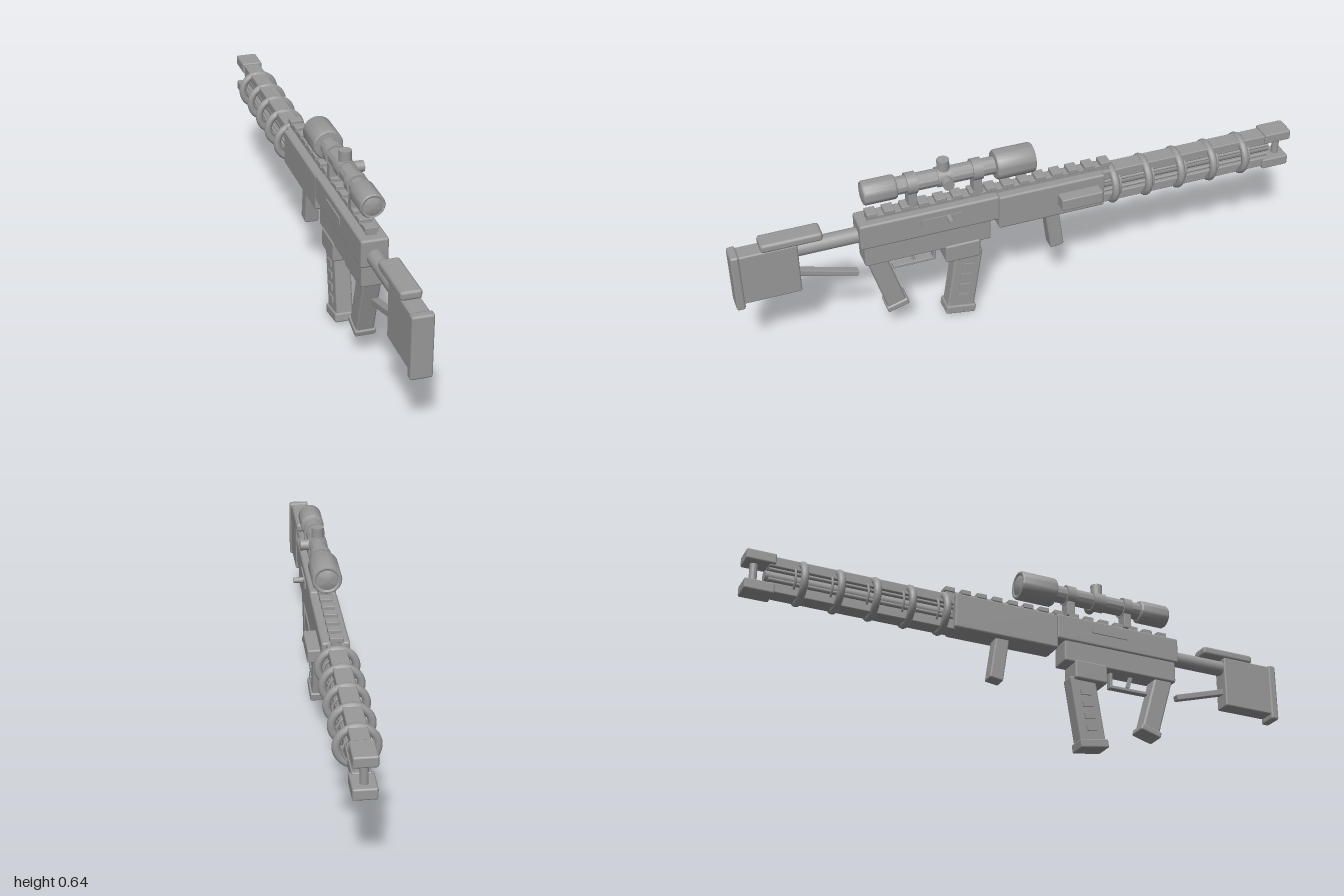
import * as THREE from 'three';
import { toCreasedNormals } from 'three/addons/utils/BufferGeometryUtils.js';
import { RoundedBoxGeometry } from 'three/addons/geometries/RoundedBoxGeometry.js';

const CX = -0.007;      // lengthwise centre plane
const BARREL_Y = 0.41;
const SCOPE_Y = 0.58;

export function createModel() {
  const root = new THREE.Group();
  root.name = 'rifle';
  const grey = new THREE.MeshStandardMaterial({ color: 0x999999 });
  grey.name = 'grey';

  const add = (name, geo, x, y, z, parent = root) => {
    const m = new THREE.Mesh(geo, grey);
    m.name = name;
    m.position.set(x, y, z);
    parent.add(m);
    return m;
  };
  // Bevelled box given by half width and its y and z ranges
  const block = (name, half, y0, y1, z0, z1, bevel = 0.006) =>
    add(name, new RoundedBoxGeometry(half * 2, y1 - y0, z1 - z0, 1, bevel), CX, (y0 + y1) / 2, (z0 + z1) / 2);
  // Leaning group whose local y runs from the bottom point (z, y) to the top point
  const leaning = (name, zTop, yTop, zBot, yBot) => {
    const g = new THREE.Group();
    g.name = name;
    g.position.set(CX, (yTop + yBot) / 2, (zTop + zBot) / 2);
    g.rotation.x = Math.atan2(zTop - zBot, yTop - yBot);
    root.add(g);
    return { g, len: Math.hypot(zTop - zBot, yTop - yBot) };
  };
  // Cylinder along z
  const rod = (name, r, x, y, z0, z1, sides = 24) => {
    const m = add(name, new THREE.CylinderGeometry(r, r, z1 - z0, sides), x, y, (z0 + z1) / 2);
    m.rotation.x = Math.PI / 2;
    return m;
  };

  // Stock
  block('buttPlate', 0.036, 0.246, 0.46, 0.97, 1.0, 0.008);
  block('stockBody', 0.031, 0.265, 0.455, 0.78, 0.975);
  block('cheekRest', 0.035, 0.452, 0.483, 0.695, 0.9, 0.01);
  rod('stockTube', 0.027, CX, 0.42, 0.57, 0.79);
  const strut = leaning('stockStrut', 0.79, 0.328, 0.585, 0.267);
  add('strutBar', new RoundedBoxGeometry(0.026, strut.len, 0.021, 1, 0.003), 0, 0, 0, strut.g);

  // Receiver and handguard
  block('upperReceiver', 0.046, 0.385, 0.48, 0.095, 0.578, 0.008);
  block('lowerReceiver', 0.04, 0.31, 0.39, 0.127, 0.566);
  block('magazineWell', 0.045, 0.25, 0.32, 0.165, 0.29, 0.008);
  block('handguard', 0.047, 0.347, 0.475, -0.285, 0.1, 0.008);
  for (const s of [-1, 1]) {
    add('portCover', new THREE.BoxGeometry(0.008, 0.024, 0.14), CX + s * 0.046, 0.443, 0.3);
  }
  const bolt = add('boltHandle', new THREE.CylinderGeometry(0.01, 0.01, 0.045, 16), 0.055, 0.446, 0.275);
  bolt.rotation.z = Math.PI / 2;
  add('sideBox', new RoundedBoxGeometry(0.046, 0.045, 0.15, 1, 0.005), 0.06, 0.416, -0.186);

  // Top rail with teeth
  block('railBase', 0.017, 0.472, 0.492, -0.31, 0.545, 0.002);
  for (let i = 0; i < 15; i++) {
    const z = -0.295 + i * 0.0587;
    block('railTooth', 0.022, 0.488, 0.505, z - 0.018, z + 0.018, 0.002);
  }

  // Pistol grip
  const grip = leaning('pistolGrip', 0.525, 0.325, 0.46, 0.102);
  add('gripBody', new RoundedBoxGeometry(0.062, grip.len, 0.068, 1, 0.008), 0, 0, 0, grip.g);
  add('gripCap', new RoundedBoxGeometry(0.072, 0.024, 0.08, 1, 0.006), 0, -grip.len / 2 + 0.008, 0, grip.g);

  // Magazine with raised side plates
  const mag = leaning('magazine', 0.2, 0.27, 0.24, 0.02);
  add('magazineBody', new RoundedBoxGeometry(0.058, mag.len, 0.098, 1, 0.008), 0, 0, 0, mag.g);
  add('magazineCap', new RoundedBoxGeometry(0.072, 0.032, 0.108, 1, 0.006), 0, -mag.len / 2 + 0.006, 0, mag.g);
  for (const s of [-1, 1]) {
    for (let i = 0; i < 4; i++) {
      add('magazineRib', new THREE.BoxGeometry(0.008, 0.02, 0.04), s * 0.03, -0.065 + i * 0.043, 0, mag.g);
    }
  }

  // Trigger and guard
  block('guardBar', 0.012, 0.253, 0.264, 0.315, 0.465, 0.002);
  block('guardFront', 0.012, 0.255, 0.315, 0.315, 0.326, 0.002);
  const trigger = leaning('trigger', 0.405, 0.32, 0.39, 0.268);
  add('triggerBlade', new THREE.BoxGeometry(0.012, trigger.len, 0.012), 0, 0, 0, trigger.g);

  // Foregrip
  const fore = leaning('foregrip', -0.1, 0.355, -0.122, 0.197);
  add('foregripBody', new RoundedBoxGeometry(0.05, fore.len, 0.05, 1, 0.006), 0, 0, 0, fore.g);

  // Barrel rails, core and slim rods
  block('upperBarrelRail', 0.03, 0.437, 0.473, -0.92, -0.27, 0.004);
  block('lowerBarrelRail', 0.03, 0.345, 0.38, -0.92, -0.27, 0.004);
  rod('barrelCore', 0.019, CX, BARREL_Y, -0.93, -0.27);
  for (const s of [-1, 1]) {
    for (const dy of [-0.018, 0.018]) rod('barrelRod', 0.006, CX + s * 0.022, BARREL_Y + dy, -0.92, -0.27, 10);
  }

  // Coil rings around the barrel, each with a slim collar
  for (let i = 0; i < 5; i++) {
    const z = -0.32 - i * 0.123;
    add('coilRing', new THREE.TorusGeometry(0.062, 0.013, 12, 40), CX, BARREL_Y - 0.003, z);
    add('coilCollar', new THREE.TorusGeometry(0.046, 0.004, 8, 32), CX, BARREL_Y - 0.003, z - 0.025);
  }

  // Forked muzzle
  block('upperMuzzleBlock', 0.038, 0.443, 0.48, -1.0, -0.9);
  block('lowerMuzzleBlock', 0.038, 0.337, 0.375, -1.0, -0.9);
  add('muzzlePost', new THREE.CylinderGeometry(0.013, 0.013, 0.08, 16), CX, 0.409, -0.965);

  // Scope: one turned profile, radius against z
  const profile = [
    [0, -0.04], [0.02, -0.038], [0.036, -0.032], [0.042, -0.035], [0.048, -0.034], [0.051, -0.028],
    [0.051, 0.094], [0.047, 0.1], [0.03, 0.102],
    [0.03, 0.438], [0.037, 0.44], [0.041, 0.446],
    [0.041, 0.546], [0.037, 0.552], [0.031, 0.55], [0.02, 0.554], [0, 0.557],
  ].map(([r, z]) => new THREE.Vector2(r, z));
  const scope = add('scopeBody', toCreasedNormals(new THREE.LatheGeometry(profile, 36), 0.6), CX, SCOPE_Y, 0);
  scope.rotation.x = Math.PI / 2;
  for (const z of [0.388, 0.163]) {
    rod('scopeRing', 0.037, CX, SCOPE_Y, z - 0.017, z + 0.017, 32);
    block('scopeMount', 0.022, 0.495, 0.56, z - 0.015, z + 0.015, 0.003);
  }
  rod('turretCollar', 0.034, CX, SCOPE_Y, 0.25, 0.3, 32);
  add('topTurret', new THREE.CylinderGeometry(0.021, 0.021, 0.05, 24), CX, 0.62, 0.275);
  const side = add('sideTurret', new THREE.CylinderGeometry(0.019, 0.019, 0.04, 24), 0.034, SCOPE_Y, 0.275);
  side.rotation.z = Math.PI / 2;

  return root;
}
